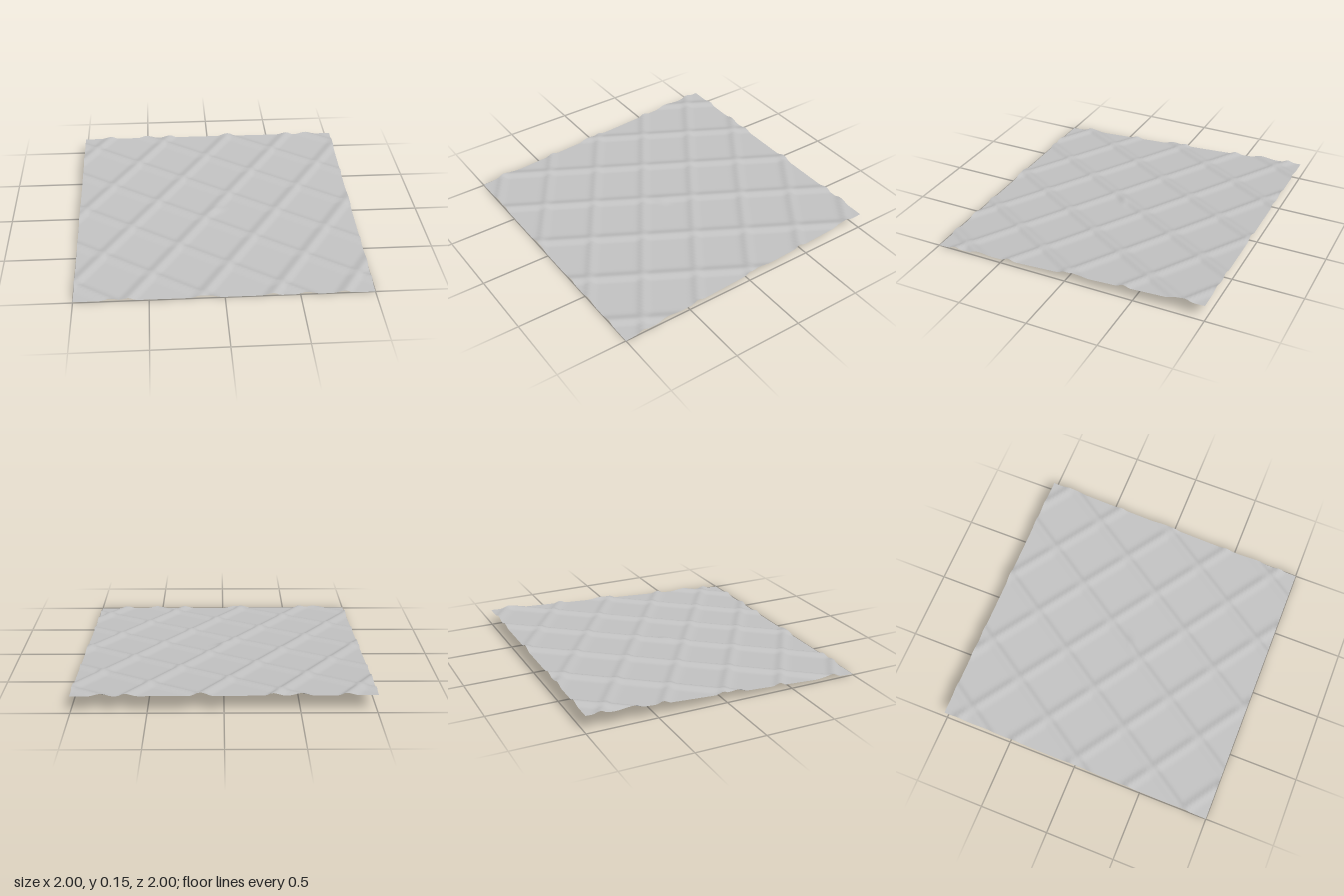
import * as THREE from 'three';

// Lattice of the raised seams: one crossing point and the two steps between crossings
const ORIGIN = [0.107, -0.158];
const U = [0.335, 0.2235];
const V = [-0.194, 0.304];
const DET = U[0] * V[1] - V[0] * U[1];
const STEP_U = Math.hypot(...U);
const STEP_V = Math.hypot(...V);

// Signed distance to the nearest line of a repeating family
const toLine = (t, step) => (t - Math.round(t)) * step;

// Rounded ridge, with a different width on either side of its crest
function ridge(d, before, after, height) {
  const t = Math.min(1, Math.abs(d) / (d < 0 ? before : after));
  return height * (1 - t * t * (3 - 2 * t));
}

function heightAt(x, z) {
  const px = x - ORIGIN[0];
  const pz = z - ORIGIN[1];
  const a = (px * V[1] - V[0] * pz) / DET;
  const b = (U[0] * pz - U[1] * px) / DET;
  const steep = ridge(toLine(a, STEP_U), 0.075, 0.04, 0.018);
  const shallow = ridge(toLine(b, STEP_V), 0.05, 0.04, 0.018);
  const seams = Math.max(steep, shallow) + 0.35 * Math.min(steep, shallow);

  // Small pucker near the middle, stretched along the steep seams
  const cx = x - 0.01;
  const cz = z - 0.04;
  const along = (cx * 0.8 - cz * 0.6) / 0.05;
  const across = (cx * 0.6 + cz * 0.8) / 0.025;
  const pucker = 0.01 * Math.exp(-along * along - across * across);

  return 0.064 - 0.06 * z - 0.003 * x + seams + pucker;
}

export function createModel() {
  const group = new THREE.Group();
  group.name = 'quiltedSheet';

  const grey = new THREE.MeshStandardMaterial({ color: 0xc0c0c0, side: THREE.DoubleSide });
  grey.name = 'grey cloth';

  // Gently sloping sheet, raised along the diagonal seams
  const geometry = new THREE.PlaneGeometry(2, 2, 100, 100).rotateX(-Math.PI / 2);
  const p = geometry.attributes.position;
  for (let i = 0; i < p.count; i++) p.setY(i, heightAt(p.getX(i), p.getZ(i)));
  geometry.computeVertexNormals();

  const sheet = new THREE.Mesh(geometry, grey);
  sheet.name = 'sheet';
  group.add(sheet);
  return group;
}
